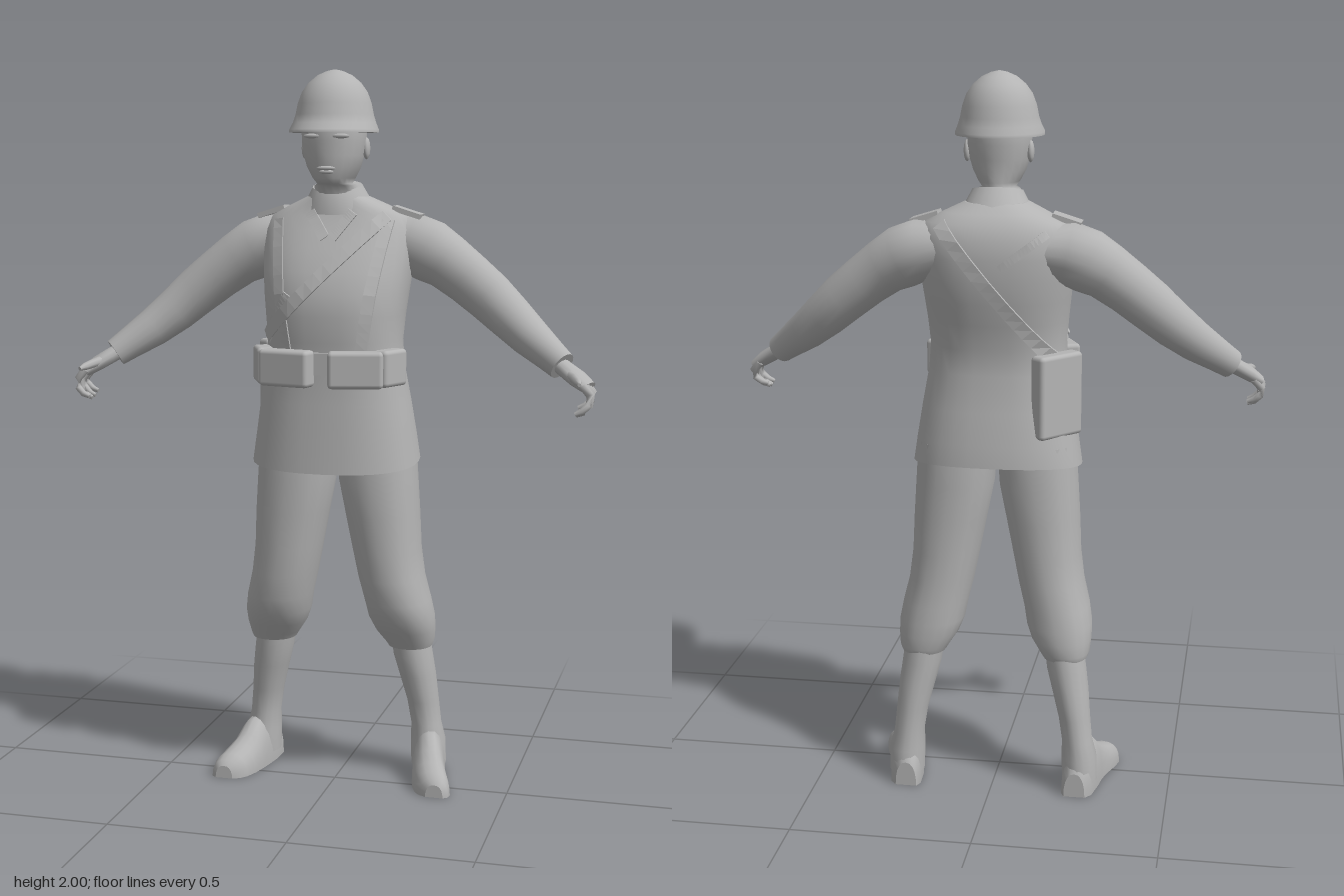
import * as THREE from 'three';
import { RoundedBoxGeometry } from 'three/addons/geometries/RoundedBoxGeometry.js';

const grey = new THREE.MeshStandardMaterial({ color: 0xb4b4b4 });
grey.name = 'plain grey';
const V = (x, y, z) => new THREE.Vector3(x, y, z);
const POW = 2.4;

// Skin a list of rings (counterclockwise around the travel direction) and cap both ends
function loft(rings, flat = false) {
  const n = rings[0].length, pos = [], idx = [];
  rings.forEach(r => r.forEach(p => pos.push(p.x, p.y, p.z)));
  for (let i = 0; i < rings.length - 1; i++) {
    for (let j = 0; j < n; j++) {
      const a = i * n + j, b = i * n + (j + 1) % n;
      idx.push(a, b, a + n, b, b + n, a + n);
    }
  }
  [rings[0], rings[rings.length - 1]].forEach((r, end) => {
    const base = pos.length / 3, c = V(0, 0, 0);
    r.forEach(p => { pos.push(p.x, p.y, p.z); c.addScaledVector(p, 1 / n); });
    pos.push(c.x, c.y, c.z);
    for (let j = 0; j < n; j++) {
      const a = base + j, b = base + (j + 1) % n;
      if (end) idx.push(a, b, base + n); else idx.push(b, a, base + n);
    }
  });
  let g = new THREE.BufferGeometry();
  g.setAttribute('position', new THREE.Float32BufferAttribute(pos, 3));
  g.setIndex(idx);
  if (flat) g = g.toNonIndexed();
  g.computeVertexNormals();
  return g;
}

// Rounded-square cross-section around c in the plane of u and v
function ring(c, u, v, ru, rv, n = 16, pow = 2) {
  const f = t => Math.sign(t) * Math.pow(Math.abs(t), 2 / pow);
  return Array.from({ length: n }, (_, j) => {
    const t = j / n * Math.PI * 2;
    return c.clone().addScaledVector(u, ru * f(Math.cos(t))).addScaledVector(v, rv * f(Math.sin(t)));
  });
}

// Upright body: rows of [y, half width, front z, back z, centre x]
function upright(rows, { n = 20, pow = 2, s = 1, tilt = () => 0 } = {}) {
  return loft(rows.map(([y, hw, zf, zb, cx = 0]) => {
    const r = ring(V(cx * s, y, (zf + zb) / 2), V(1, 0, 0), V(0, 0, -1), hw, (zf - zb) / 2, n, pow);
    r.forEach(p => { p.y += tilt(y, p.z); });
    return r;
  }));
}

// Limb along a path: rows of [x, y, z, radius across, radius up]
function limb(rows, s, n = 14) {
  const pts = rows.map(r => V(r[0] * s, r[1], r[2]));
  return loft(rows.map((r, i) => {
    const d = pts[Math.min(i + 1, pts.length - 1)].clone().sub(pts[Math.max(i - 1, 0)]).normalize();
    const hint = Math.abs(d.y) > 0.9 ? V(s, 0, 0) : V(0, 1, 0);
    const u = hint.cross(d).normalize(), v = d.clone().cross(u);
    return ring(pts[i], u, v, r[3], r[4], n);
  }));
}

const TORSO = [
  [0.93, .235, .145, -.185], [1.0, .225, .14, -.18], [1.1, .21, .135, -.165], [1.2, .192, .13, -.15],
  [1.27, .187, .138, -.152], [1.34, .193, .143, -.168], [1.4, .2, .138, -.182], [1.46, .207, .117, -.192],
  [1.52, .211, .088, -.194], [1.57, .208, .06, -.19], [1.61, .19, .04, -.172], [1.635, .14, .032, -.15],
  [1.66, .085, .03, -.12],
];

// Jacket surface depth at x, y on the front (side 1) or back (side -1)
function surfaceZ(x, y, side) {
  let i = 0;
  while (i < TORSO.length - 2 && TORSO[i + 1][0] < y) i++;
  const a = TORSO[i], b = TORSO[i + 1], t = THREE.MathUtils.clamp((y - a[0]) / (b[0] - a[0]), 0, 1);
  const [, hw, zf, zb] = a.map((k, j) => THREE.MathUtils.lerp(k, b[j], t));
  const q = Math.min(Math.abs(x) / hw, 0.985);
  return (zf + zb) / 2 + side * (zf - zb) / 2 * Math.pow(1 - Math.pow(q, POW), 1 / POW);
}

// Flat strap lying on the jacket between two points seen from the front or back
function strap(x0, y0, x1, y1, side, w = .016, lift = .009) {
  const n = V(0, 0, side), u = n.clone().cross(V(x1 - x0, y1 - y0, 0).normalize());
  const rings = [];
  for (let i = 0; i <= 14; i++) {
    const t = i / 14, x = x0 + (x1 - x0) * t, y = y0 + (y1 - y0) * t;
    rings.push([[1, -.012], [1, lift], [-1, lift], [-1, -.012]].map(([k, o]) => {
      const px = x + u.x * w * k, py = y + u.y * w * k;
      return V(px, py, surfaceZ(px, py, side) + o * side);
    }));
  }
  return loft(rings, true);
}

export function createModel() {
  const model = new THREE.Group();
  model.name = 'soldier';
  const add = (name, geo, x = 0, y = 0, z = 0, ry = 0, rz = 0) => {
    const m = new THREE.Mesh(geo, grey);
    m.name = name;
    m.position.set(x, y, z);
    m.rotation.set(0, ry, rz);
    model.add(m);
  };

  // Jacket with a hem that dips at the front
  const dip = (y, z) => -.12 * z * THREE.MathUtils.clamp((1.1 - y) / .17, 0, 1);
  add('jacket', upright(TORSO, { n: 32, pow: POW, tilt: dip }));
  add('collar', upright([[1.63, .1, .05, -.13], [1.665, .082, .045, -.108], [1.69, .069, .035, -.093]],
    { n: 20, tilt: (y, z) => -.22 * (z + .035) }));
  for (const s of [-1, 1]) add('lapel', strap(.01 * s, 1.55, .06 * s, 1.62, 1, .014, .008));

  // Head and neck
  add('head', upright([
    [1.58, .07, .02, -.1], [1.66, .062, .035, -.088], [1.69, .06, .045, -.083], [1.695, .045, .078, -.08],
    [1.71, .056, .088, -.08], [1.74, .072, .094, -.08], [1.77, .081, .097, -.083], [1.81, .087, .098, -.088],
    [1.85, .088, .1, -.09], [1.9, .08, .085, -.08],
  ], { n: 20, pow: 2.1 }));
  add('nose', loft([[1.755, .016, .122, .08], [1.77, .018, .126, .08], [1.8, .01, .11, .08], [1.825, .008, .1, .08]]
    .map(([y, hw, zf, zb]) => [V(hw, y, zb), V(0, y, zf), V(-hw, y, zb), V(0, y, zb - .01)])));
  const lip = new THREE.SphereGeometry(1, 12, 6);
  add('mouth', lip.clone().scale(.027, .006, .01), 0, 1.737, .093);
  add('lower lip', lip.clone().scale(.021, .006, .01), 0, 1.727, .09);
  for (const s of [-1, 1]) {
    add('ear', lip.clone().scale(.01, .03, .018), .086 * s, 1.79, -.012);
    add('brow', lip.clone().scale(.028, .007, .012), .036 * s, 1.822, .087);
  }

  // Helmet with a flared rim
  add('helmet', upright([
    [1.832, .121, .143, -.126], [1.84, .121, .142, -.126], [1.858, .113, .122, -.116], [1.88, .106, .112, -.11],
    [1.91, .1, .105, -.104], [1.94, .089, .092, -.093], [1.965, .071, .073, -.076], [1.985, .047, .047, -.051],
    [1.996, .022, .021, -.025], [2.0, .004, .002, -.006],
  ], { n: 24 }));

  for (const s of [-1, 1]) {
    // Sleeve
    add('sleeve', limb([
      [.1, 1.54, -.085, .075, .06], [.2, 1.53, -.087, .084, .085], [.25, 1.51, -.083, .08, .086],
      [.3, 1.482, -.076, .073, .077], [.36, 1.438, -.069, .067, .072], [.42, 1.39, -.062, .066, .069],
      [.48, 1.337, -.047, .062, .063], [.54, 1.287, -.018, .055, .055], [.6, 1.243, .016, .044, .045],
      [.635, 1.217, .036, .039, .04],
    ], s, 18));

    // Hand with curled fingers and thumb
    add('palm', limb([[.61, 1.232, .022, .024, .022], [.645, 1.21, .045, .027, .022], [.68, 1.188, .063, .04, .021],
      [.71, 1.167, .073, .04, .016]], s, 12));
    for (let i = 0; i < 4; i++) {
      const z = .04 + i * .022, k = [.8, .95, 1, .92][i];
      add('finger', limb([[.7, 1.175, z, .011, .012], [.719, 1.15, z + .004, .011, .011],
        [.716, 1.165 - .045 * k, z + .01, .01, .01], [.7, 1.165 - .062 * k, z + .014, .009, .009],
        [.682, 1.165 - .07 * k, z + .016, .006, .006]], s, 8));
    }
    add('thumb', limb([[.655, 1.2, .06, .014, .014], [.676, 1.193, .1, .013, .013], [.689, 1.187, .132, .011, .011],
      [.696, 1.183, .155, .005, .005]], s, 8));

    // Baggy trouser leg gathered below the knee
    add('trouserLeg', upright([
      [.39, .063, -.018, -.16, .202], [.405, .07, -.008, -.166, .2], [.44, .084, .018, -.168, .19],
      [.48, .092, .045, -.167, .182], [.53, .092, .063, -.163, .173], [.6, .092, .072, -.158, .156],
      [.68, .095, .076, -.155, .143], [.78, .103, .08, -.154, .131], [.88, .11, .083, -.156, .118],
      [1.0, .11, .08, -.155, .11],
    ], { n: 20, pow: 2.2, s }));

    // Boot shaft and out-turned foot
    add('bootShaft', upright([
      [.03, .05, -.06, -.188, .25], [.1, .05, -.06, -.186, .248], [.15, .043, -.07, -.179, .242],
      [.22, .045, -.062, -.177, .233], [.3, .052, -.044, -.172, .219], [.36, .056, -.034, -.166, .207],
      [.44, .056, -.03, -.16, .196],
    ], { n: 16, s }));
    const foot = [[-.19, .03, .07, .242], [-.17, .043, .11, .246], [-.11, .048, .145, .254], [-.06, .048, .135, .262],
      [-.02, .05, .1, .272], [.02, .053, .078, .285], [.055, .051, .064, .297], [.075, .042, .052, .304],
      [.086, .025, .036, .308]];
    add('foot', loft(foot.map(([z, hw, h, cx]) => {
      const r = ring(V(cx * s, 0, z), V(1, 0, 0), V(0, 1, 0), hw, h, 20, 2.3);
      r.forEach(p => { p.y = Math.max(0, p.y); });
      return r;
    })));

    // Belt pouches, shoulder straps and shoulder tabs
    add('frontPouch', new RoundedBoxGeometry(.15, .1, .055, 2, .012), .096 * s, 1.203, .15, .23 * s);
    add('sidePouch', new RoundedBoxGeometry(.1, .1, .05, 2, .012), .177 * s, 1.205, .092, 1.15 * s);
    add('shoulderStrap', strap(.155 * s, 1.6, .105 * s, 1.25, 1, .015));
    add('shoulderTab', new THREE.BoxGeometry(.08, .014, .06), .192 * s, 1.617, -.06, 0, -.3 * s);
  }

  // Belt, crossing straps and hip bag
  add('belt', strap(-.17, 1.215, .17, 1.215, 1, .03, .012));
  add('buckle', new THREE.BoxGeometry(.04, .06, .012), 0, 1.215, .146);
  add('chestStrap', strap(.15, 1.61, -.178, 1.28, 1, .018, .012));
  add('sideStrap', strap(-.1, 1.4, -.175, 1.27, 1, .014, .009));
  add('backStrap', strap(.14, 1.61, -.165, 1.24, -1, .018, .011));
  add('rearShoulderStrap', strap(-.15, 1.59, -.03, 1.5, -1, .011, .008));
  add('hipBag', new RoundedBoxGeometry(.15, .23, .05, 2, .012), -.172, 1.145, -.1, Math.PI + .85, 0);
  return model;
}
